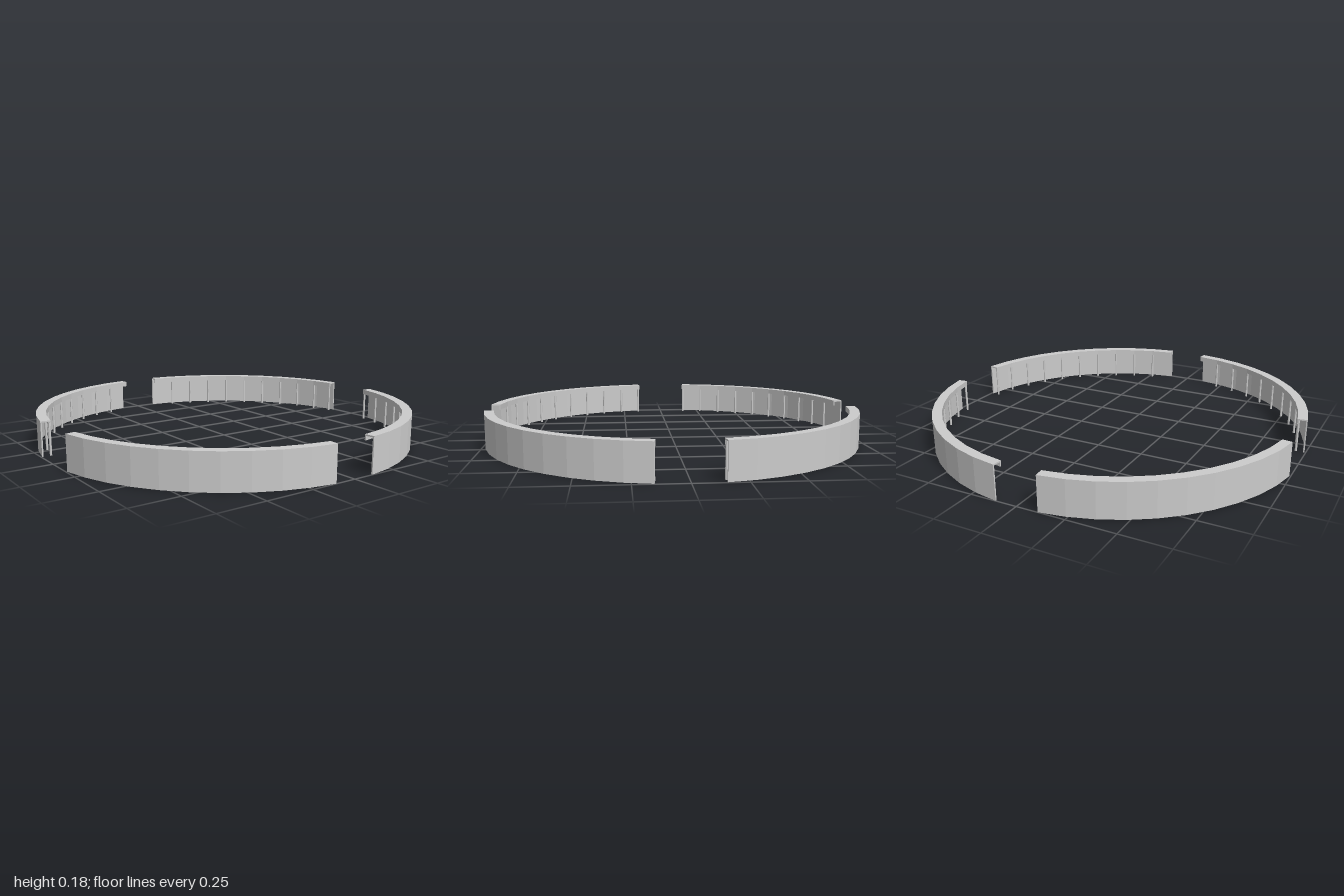
import * as THREE from 'three';

const START = THREE.MathUtils.degToRad(8.8);
const END = THREE.MathUtils.degToRad(83.6);
const SEGMENTS = 10;
const HEIGHT = 0.18;
const OUTER = 1.006, INNER = 0.955, SHEET = 0.007;

const material = new THREE.MeshStandardMaterial({ color: 0xcccccc, flatShading: true });

// Facet corner k of a quarter, mirrored by the signs sx and sz
function corner(radius, k, sx, sz) {
  const a = START + (END - START) * k / SEGMENTS;
  return new THREE.Vector2(sx * radius * Math.cos(a), sz * radius * Math.sin(a));
}

// Faceted curved bar between two radii and two heights
function curvedBar(name, r0, r1, y0, y1, sx, sz) {
  const points = [];
  for (let k = 0; k <= SEGMENTS; k++) points.push(corner(r1, k, sx, sz));
  for (let k = SEGMENTS; k >= 0; k--) points.push(corner(r0, k, sx, sz));
  const geometry = new THREE.ExtrudeGeometry(new THREE.Shape(points), { depth: y1 - y0, bevelEnabled: false });
  geometry.rotateX(-Math.PI / 2).translate(0, y0, 0);
  const mesh = new THREE.Mesh(geometry, material);
  mesh.name = name;
  return mesh;
}

function counterQuarter(sx, sz) {
  const quarter = new THREE.Group();
  quarter.name = 'counterQuarter';

  // Outer panel, worktop and the short lip hanging from its inner edge
  quarter.add(
    curvedBar('frontPanel', OUTER - SHEET, OUTER, 0, HEIGHT - SHEET, sx, sz),
    curvedBar('worktop', INNER, OUTER, HEIGHT - SHEET, HEIGHT, sx, sz),
    curvedBar('innerLip', INNER, INNER + SHEET, HEIGHT - 0.028, HEIGHT - SHEET, sx, sz)
  );

  // Slim legs under the inner edge, one per facet
  const legHeight = HEIGHT - SHEET;
  const legGeometry = new THREE.CylinderGeometry(0.006, 0.006, legHeight, 10);
  for (let k = 0; k < SEGMENTS; k++) {
    const p = corner(INNER + 0.006, k === 0 ? 0.06 : k, sx, sz);
    const leg = new THREE.Mesh(legGeometry, material);
    leg.name = 'leg';
    leg.position.set(p.x, legHeight / 2, -p.y);
    quarter.add(leg);
  }
  return quarter;
}

export function createModel() {
  const model = new THREE.Group();
  model.name = 'ringCounter';
  for (const sx of [-1, 1]) {
    for (const sz of [-1, 1]) model.add(counterQuarter(sx, sz));
  }
  return model;
}
